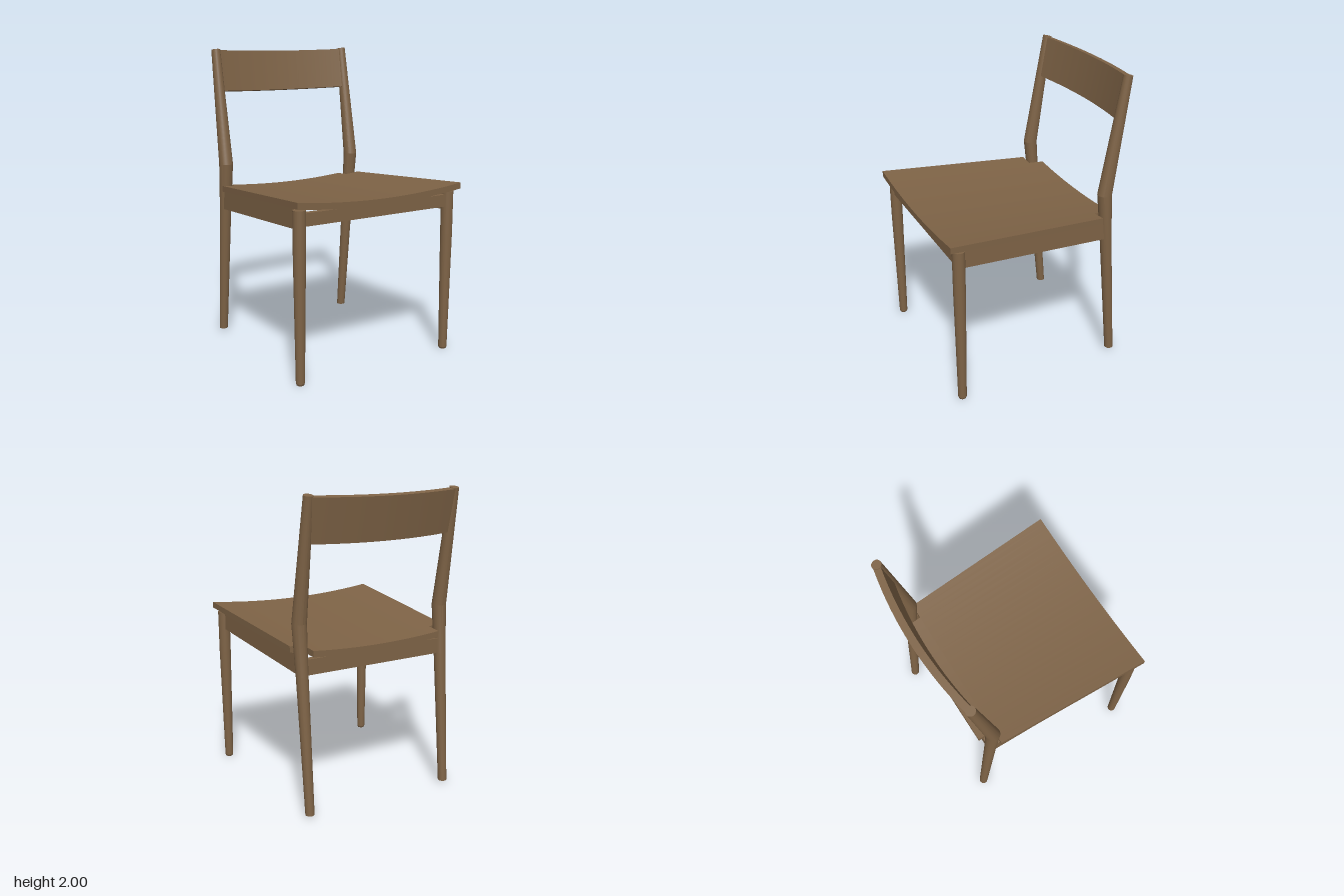
import * as THREE from 'three';
import { toCreasedNormals } from 'three/addons/utils/BufferGeometryUtils.js';

const SLOPE = 0.056; // backward fall of seat and frame

// Move every vertex of a geometry by a rule
function reshape(geometry, rule) {
  const p = geometry.attributes.position;
  const v = new THREE.Vector3();
  for (let i = 0; i < p.count; i++) {
    v.fromBufferAttribute(p, i);
    rule(v);
    p.setXYZ(i, v.x, v.y, v.z);
  }
  geometry.computeVertexNormals();
  return toCreasedNormals(geometry, 0.2);
}

// Round limb through rings [x, y, z, radius, tilt], listed from the bottom up
function limb(rings) {
  const n = rings.length - 1;
  return reshape(new THREE.CylinderGeometry(1, 1, 1, 40, n), (v) => {
    const [x, y, z, r, tilt = 0] = rings[Math.round((v.y + 0.5) * n)];
    v.set(x + v.x * r, y + v.z * r * tilt, z + v.z * r);
  });
}

// Straight rail between two centre points
function beam(a, b, height, thickness) {
  const from = new THREE.Vector3(...a), to = new THREE.Vector3(...b);
  const g = new THREE.BoxGeometry(thickness, height, from.distanceTo(to));
  const m = new THREE.Matrix4().lookAt(to, from, new THREE.Vector3(0, 1, 0));
  m.setPosition(from.add(to).multiplyScalar(0.5));
  return g.applyMatrix4(m);
}

// Dished seat board with half widths w0 at z0 and w1 at z1
function seatBoard(z0, w0, z1, w1) {
  return reshape(new THREE.BoxGeometry(2, 0.04, 1, 28, 1, 1), (v) => {
    const t = v.z + 0.5;
    const x = v.x * THREE.MathUtils.lerp(w0, w1, t);
    const z = THREE.MathUtils.lerp(z0, z1, t);
    const dish = 0.04 * (x / 0.625) ** 2;
    v.set(x, 1.085 + v.y + dish - SLOPE * (0.655 - z), z);
  });
}

export function createModel() {
  const wood = new THREE.MeshStandardMaterial({ color: 0x7e6346 });
  wood.name = 'wood';
  const model = new THREE.Group();
  model.name = 'chair';
  const add = (name, geometry) => {
    const mesh = new THREE.Mesh(geometry, wood);
    mesh.name = name;
    model.add(mesh);
    return mesh;
  };

  // Seat, narrowed at the back to clear the posts
  add('seat', seatBoard(-0.42, 0.565, 0.655, 0.622));
  add('seatBack', seatBoard(-0.53, 0.462, -0.42, 0.467));

  for (const s of [1, -1]) {
    const side = s > 0 ? 'left' : 'right';
    // Front leg with chamfered foot
    add(side + 'FrontLeg', limb([
      [s * 0.567, 0, 0.583, 0.023],
      [s * 0.567, 0.012, 0.583, 0.028],
      [s * 0.57, 0.8, 0.585, 0.039],
      [s * 0.57, 1.085, 0.585, 0.04],
    ]));
    // Rear leg bending into the back post
    add(side + 'BackPost', limb([
      [s * 0.512, 0.015, -0.56, 0.029],
      [s * 0.515, 0.9, -0.481, 0.039],
      [s * 0.517, 1.22, -0.453, 0.047],
      [s * 0.514, 1.99, -0.576, 0.03, 0.2],
    ]));
    // Side rail
    add(side + 'SideRail', beam([s * 0.558, 1.026, 0.575], [s * 0.522, 0.969, -0.46], 0.122, 0.04));
    // Diagonal corner braces
    add(side + 'FrontBrace', beam([s * 0.53, 0.99, 0.37], [s * 0.3, 1.0, 0.56], 0.045, 0.035));
    add(side + 'BackBrace', beam([s * 0.52, 0.943, -0.27], [s * 0.28, 0.935, -0.46], 0.045, 0.035));
  }

  // Front and back rails
  add('frontRail', beam([-0.56, 1.025, 0.585], [0.56, 1.025, 0.585], 0.08, 0.04));
  add('backRail', beam([-0.51, 0.951, -0.477], [0.51, 0.951, -0.477], 0.1, 0.04));

  // Bowed, leaning backrest
  const rest = add('backrest', reshape(new THREE.BoxGeometry(1.01, 0.277, 0.045, 32, 1, 1), (v) => {
    v.z -= 0.052 * (1 - (v.x / 0.505) ** 2);
  }));
  rest.position.set(0, 1.847, -0.556);
  rest.rotation.x = -0.18;

  return model;
}
